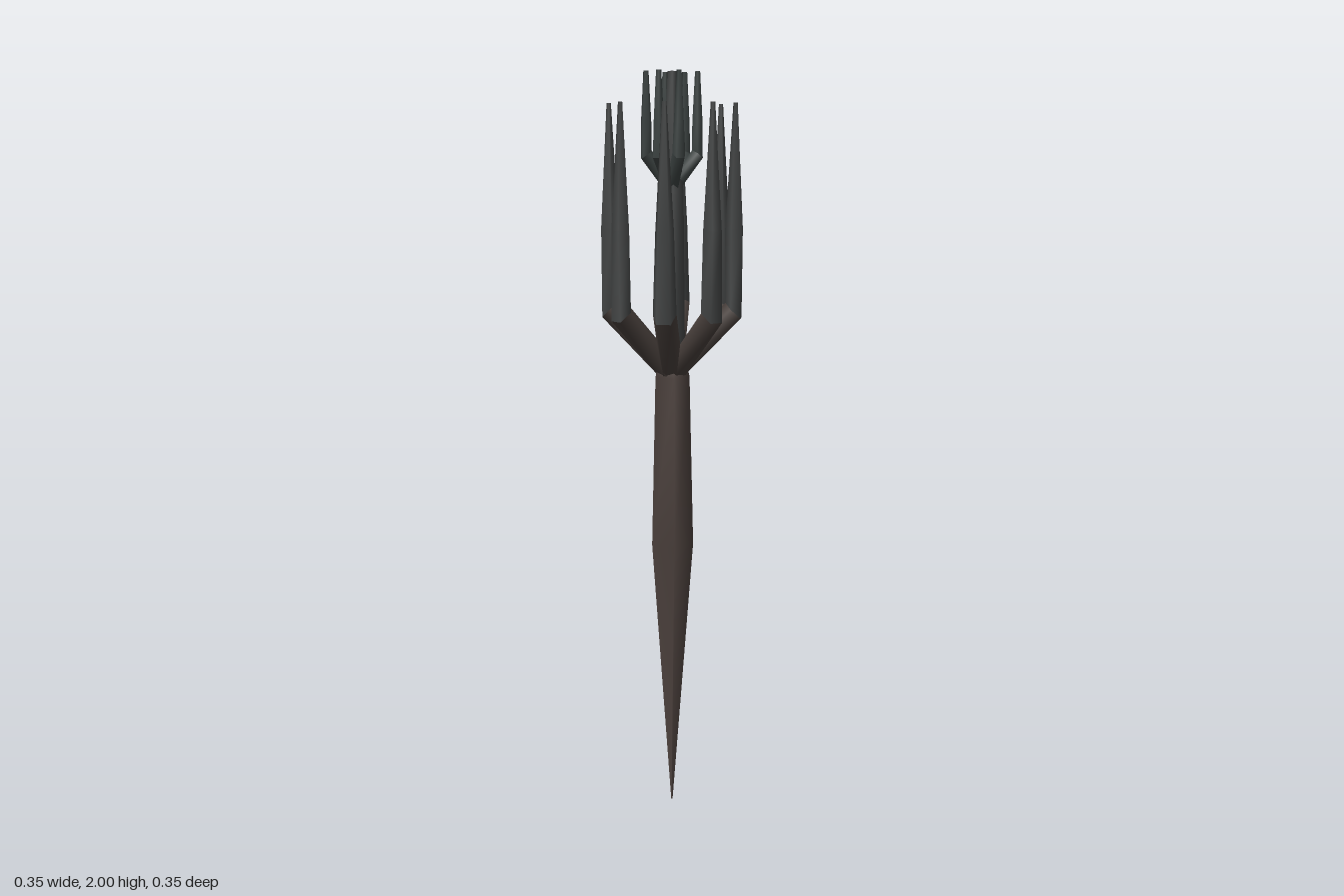
import * as THREE from 'three';

const SIDES = 5;
const trunkMaterial = new THREE.MeshStandardMaterial({ color: 0x4d423e });
const armMaterial = new THREE.MeshStandardMaterial({ color: 0x4a413d });
const spikeMaterial = new THREE.MeshStandardMaterial({ color: 0x434545 });
const crownMaterial = new THREE.MeshStandardMaterial({ color: 0x3c4342 });

// Five-sided loft in the vertical plane at angle theta.
// Each ring is [distance out, height, radius, downward tilt].
function loft(name, rings, theta, twist, material) {
  const out = new THREE.Vector3(Math.cos(theta), 0, Math.sin(theta));
  const side = new THREE.Vector3(-Math.sin(theta), 0, Math.cos(theta));
  const up = new THREE.Vector3(0, 1, 0);
  const positions = [], indices = [];

  const addRing = ([d, y, r, tilt = 0]) => {
    const u = out.clone().multiplyScalar(Math.cos(tilt)).addScaledVector(up, -Math.sin(tilt));
    for (let i = 0; i < SIDES; i++) {
      const a = twist + (i / SIDES) * Math.PI * 2;
      const p = out.clone().multiplyScalar(d).addScaledVector(up, y)
        .addScaledVector(u, r * Math.cos(a)).addScaledVector(side, r * Math.sin(a));
      positions.push(p.x, p.y, p.z);
    }
  };

  rings.forEach(addRing);
  for (let j = 0; j < rings.length - 1; j++) {
    for (let i = 0; i < SIDES; i++) {
      const a = j * SIDES + i, b = j * SIDES + (i + 1) % SIDES;
      indices.push(a, a + SIDES, b, b, a + SIDES, b + SIDES);
    }
  }

  // End caps on their own vertices so the rims stay sharp
  const bottom = positions.length / 3;
  addRing(rings[0]);
  const top = bottom + SIDES;
  addRing(rings[rings.length - 1]);
  for (let i = 1; i < SIDES - 1; i++) {
    indices.push(bottom, bottom + i, bottom + i + 1);
    indices.push(top, top + i + 1, top + i);
  }

  const geometry = new THREE.BufferGeometry();
  geometry.setAttribute('position', new THREE.Float32BufferAttribute(positions, 3));
  geometry.setIndex(indices);
  geometry.computeVertexNormals();
  const mesh = new THREE.Mesh(geometry, material);
  mesh.name = name;
  return mesh;
}

// A slanted arm that bends into an upright tapering spike
function prong(name, theta, s, armMat, spikeMat) {
  const group = new THREE.Group();
  group.name = name;
  const tilt = Math.atan2(s.reach, s.elbowY - s.baseY);
  const elbow = [s.reach, s.elbowY, s.radius, tilt];
  group.add(
    loft('arm', [[0, s.baseY, s.radius, tilt], elbow], theta, Math.PI / SIDES, armMat),
    loft('spike', [
      elbow,
      [s.reach, s.midY, s.radius * 0.78],
      [s.reach, s.topY, s.tip],
    ], theta, Math.PI / SIDES, spikeMat)
  );
  return group;
}

export function createModel() {
  const model = new THREE.Group();
  model.name = 'branchingSpike';
  const corner = -Math.PI / 4;

  // Pointed trunk, widest at mid height
  model.add(loft('trunk', [
    [0, 0, 0.002], [0, 0.75, 0.059], [0, 1.21, 0.048], [0, 1.26, 0.035],
  ], corner, 0, trunkMaterial));

  // Central stem running up through both clusters
  model.add(loft('stem', [
    [0, 1.22, 0.036], [0, 1.69, 0.031], [0, 1.78, 0.024], [0, 2, 0.012],
  ], corner, 0, spikeMaterial));

  // Outer ring of prongs, with one gap at the back right
  const outer = { reach: 0.165, baseY: 1.215, elbowY: 1.385, midY: 1.6, topY: 1.92, radius: 0.032, tip: 0.006 };
  for (let k = 0; k < 8; k++) {
    if (k === 5) continue;
    model.add(prong('outerProng', (k + 0.5) * Math.PI / 4, outer, armMaterial, spikeMaterial));
  }

  // Small crown of prongs around the stem, with two gaps
  const inner = { reach: 0.069, baseY: 1.7, elbowY: 1.79, midY: 1.87, topY: 2, radius: 0.018, tip: 0.007 };
  for (let k = 0; k < 8; k++) {
    if (k === 1 || k === 5) continue;
    model.add(prong('crownProng', k * Math.PI / 4, inner, crownMaterial, crownMaterial));
  }

  return model;
}
